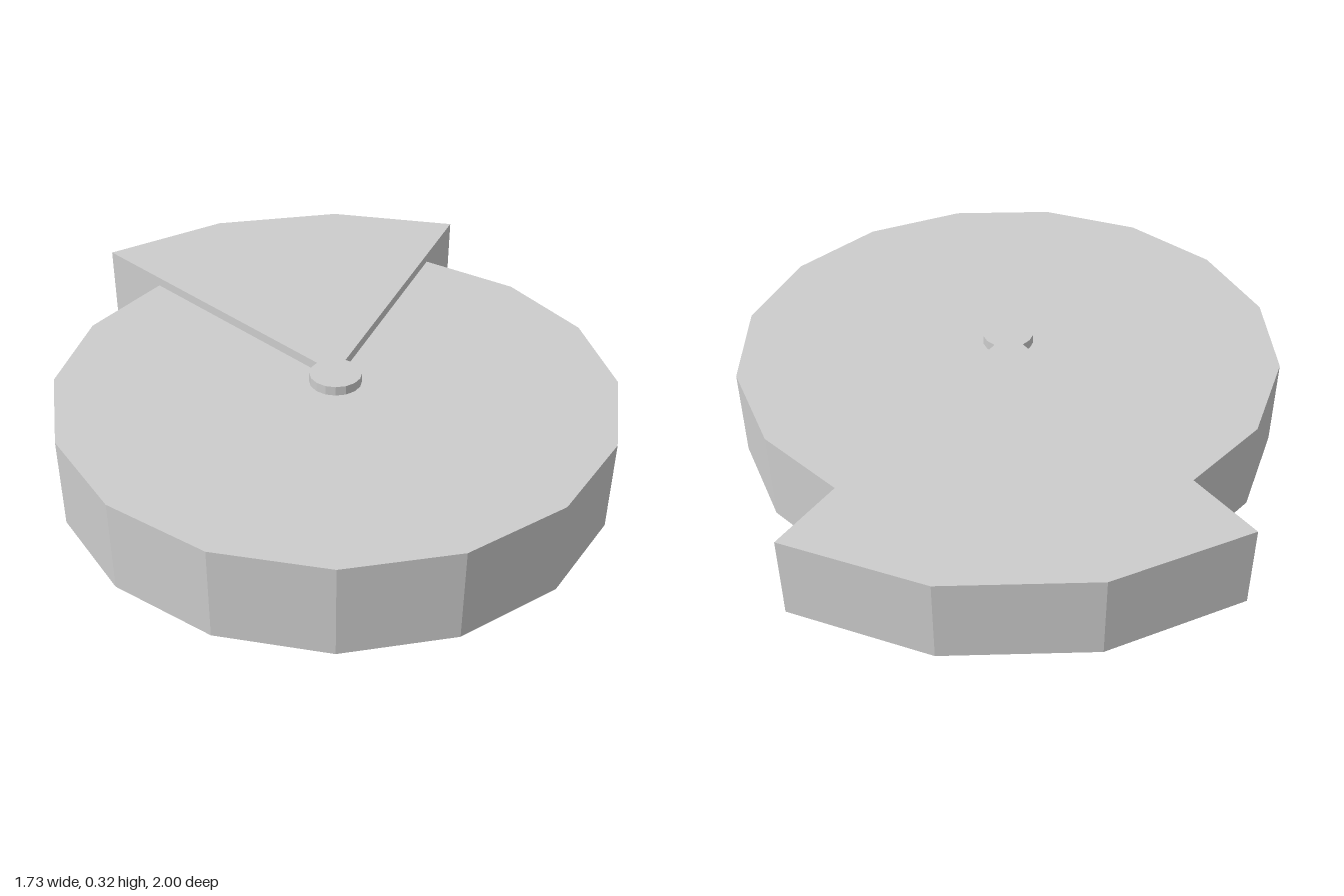
import * as THREE from 'three';

const CENTER_Z = 0.135;
const STEP = Math.PI / 8;

export function createModel() {
  const group = new THREE.Group();
  const grey = new THREE.MeshStandardMaterial({ color: 0xcccccc });
  grey.name = 'light grey';
  grey.flatShading = true;

  const add = (name, geometry, y) => {
    const mesh = new THREE.Mesh(geometry, grey);
    mesh.name = name;
    mesh.position.set(0, y, CENTER_Z);
    group.add(mesh);
  };

  // Sixteen-sided base disc
  add('baseDisc', new THREE.CylinderGeometry(0.865, 0.865, 0.29, 16), 0.145);

  // Small central hub, level with the wedge
  add('hub', new THREE.CylinderGeometry(0.081, 0.081, 0.26, 16), 0.19);

  // Raised wedge: three steps of a larger sixteen-sided disc, overhanging the back
  const shape = new THREE.Shape();
  shape.moveTo(0, 0);
  for (let i = 2; i <= 5; i++) {
    const a = i * STEP;
    shape.lineTo(1.135 * Math.cos(a), 1.135 * Math.sin(a));
  }
  shape.closePath();
  const wedge = new THREE.ExtrudeGeometry(shape, { depth: 0.26, bevelEnabled: false });
  wedge.rotateX(-Math.PI / 2);
  add('wedge', wedge, 0.06);

  return group;
}
